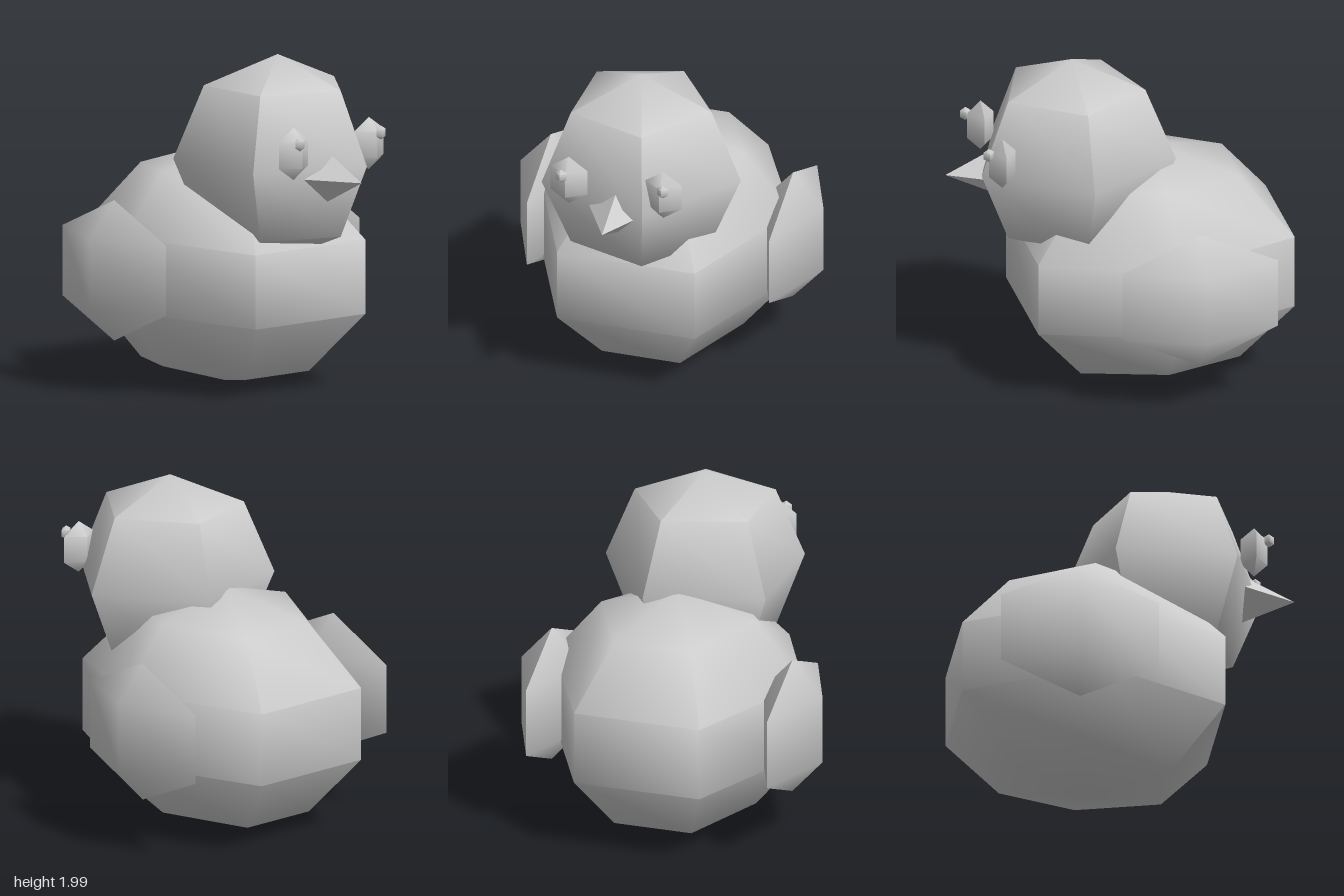
import * as THREE from 'three';
import { toCreasedNormals } from 'three/addons/utils/BufferGeometryUtils.js';

const CREASE = 1.13;

// Coarse ellipsoid with smooth normals and sharp creases
function blob(sx, sy, sz, columns, rows) {
  const g = new THREE.SphereGeometry(1, columns, rows);
  g.scale(sx, sy, sz);
  return g;
}

export function createModel() {
  const group = new THREE.Group();
  const grey = new THREE.MeshStandardMaterial({ color: 0xcccccc });
  grey.name = 'plain grey';

  function add(name, geometry, x, y, z) {
    const mesh = new THREE.Mesh(toCreasedNormals(geometry, CREASE), grey);
    mesh.name = name;
    mesh.position.set(x, y, z);
    group.add(mesh);
  }

  // Body: six-sided, a little lower at front and back, wider across the chest
  const body = blob(0.81, 0.71, 0.935, 6, 5);
  const p = body.attributes.position;
  for (let i = 0; i < p.count; i++) {
    const x = p.getX(i), y = p.getY(i), z = p.getZ(i);
    if (Math.abs(z) < 0.1) continue;
    p.setY(i, y - (z > 0 ? 0.045 : 0.03));
    if (z > 0.6) p.setX(i, x * 1.09);
  }
  add('body', body, 0, 0.72, -0.23);

  // Head: five-sided, one corner towards +x
  const head = blob(0.61, 0.61, 0.61, 5, 4);
  head.rotateY(Math.PI);
  add('head', head, 0, 1.39, 0.245);

  // Beak: four-sided spike set into the face
  const beak = new THREE.ConeGeometry(0.2, 0.4, 4);
  beak.rotateX(Math.PI / 2);
  beak.scale(1.13, 0.97, 1);
  add('beak', beak, 0, 1.335, 0.8);

  // Paired wings, eyes and pupils
  for (const [side, s] of [['left', 1], ['right', -1]]) {
    add(side + 'Wing', blob(0.214, 0.415, 0.537, 4, 3), s * 0.74, 0.725, -0.355);
    add(side + 'Eye', blob(0.13, 0.155, 0.092, 4, 3), s * 0.288, 1.505, 0.725);
    add(side + 'Pupil', blob(0.04, 0.042, 0.036, 4, 3), s * 0.31, 1.575, 0.81);
  }
  return group;
}
